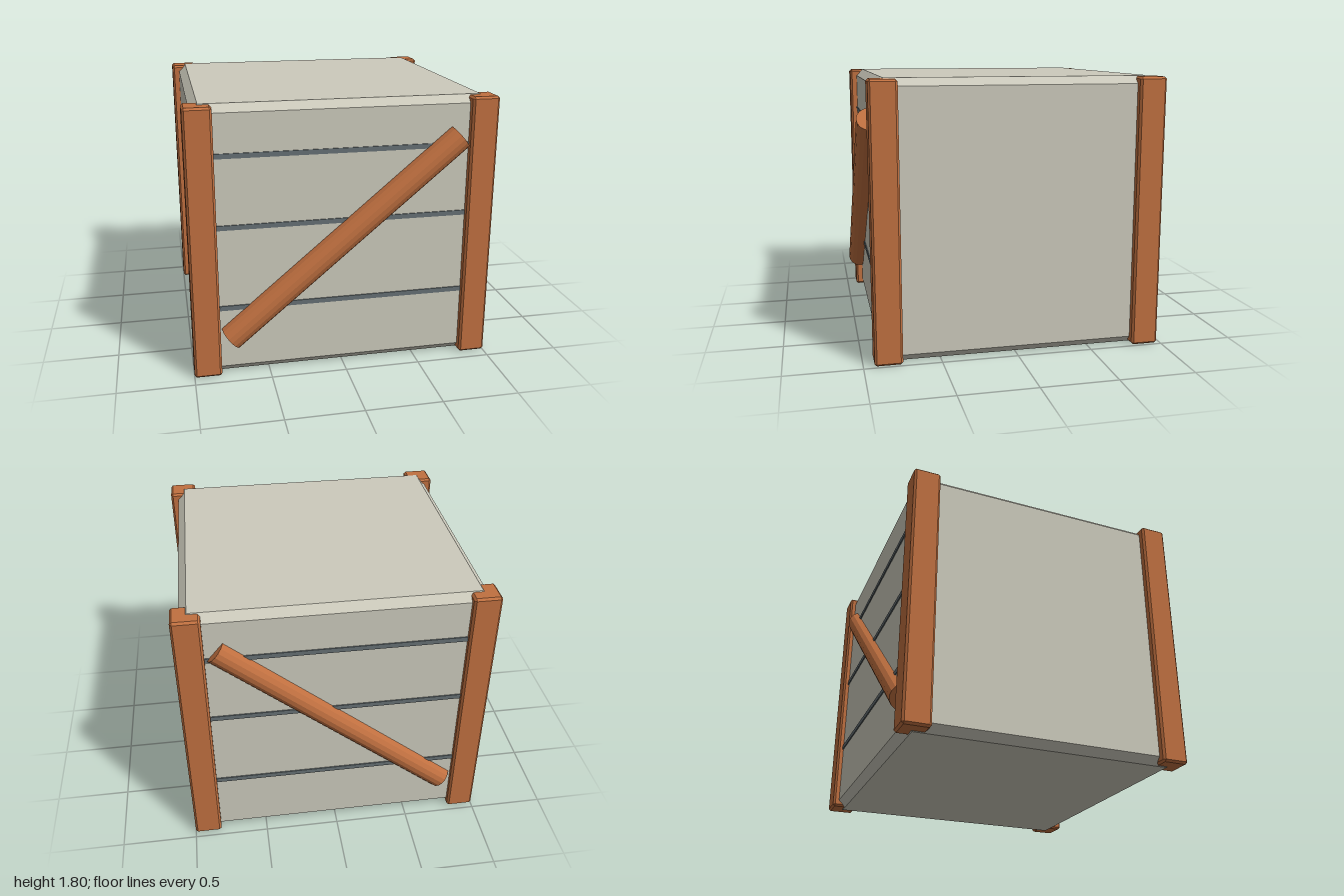
import * as THREE from 'three';
import { ConvexGeometry } from 'three/addons/geometries/ConvexGeometry.js';

const panelMat = new THREE.MeshStandardMaterial({ color: 0xcccabc, flatShading: true });
const woodMat = new THREE.MeshStandardMaterial({ color: 0xc07040, flatShading: true });
const gapMat = new THREE.MeshStandardMaterial({ color: 0x667074, flatShading: true });

// Box with every edge cut by a flat chamfer c
function chamferBox(w, h, d, c) {
  const points = [];
  for (const sx of [-1, 1]) for (const sy of [-1, 1]) for (const sz of [-1, 1]) {
    const x = w / 2, y = h / 2, z = d / 2;
    points.push(
      new THREE.Vector3(sx * x, sy * (y - c), sz * (z - c)),
      new THREE.Vector3(sx * (x - c), sy * y, sz * (z - c)),
      new THREE.Vector3(sx * (x - c), sy * (y - c), sz * z)
    );
  }
  return new ConvexGeometry(points);
}

export function createModel() {
  const model = new THREE.Group();
  model.name = 'crate';
  const add = (name, geometry, material, x, y, z) => {
    const mesh = new THREE.Mesh(geometry, material);
    mesh.name = name;
    mesh.position.set(x, y, z);
    model.add(mesh);
    return mesh;
  };
  const midZ = -0.025, halfDepth = 0.905;

  // Chamfered body
  add('body', chamferBox(1.9, 1.8, halfDepth * 2, 0.05), panelMat, 0, 0.9, midZ);

  // Corner posts, a hair shorter than the body
  const postGeo = chamferBox(0.18, 1.79, 0.18, 0.014);
  for (const sx of [-1, 1]) for (const sz of [-1, 1]) {
    const name = (sz > 0 ? 'front' : 'back') + (sx > 0 ? 'Left' : 'Right') + 'Post';
    add(name, postGeo, woodMat, sx * 0.91, 0.9, -0.02 + sz * 0.86);
  }

  // Dark plank seams and a diagonal brace on the front and back
  const seamGeo = new THREE.BoxGeometry(1.76, 0.032, 0.02);
  const braceGeo = new THREE.CylinderGeometry(0.085, 0.085, 1.976, 16);
  for (const sz of [-1, 1]) {
    const side = sz > 0 ? 'front' : 'back';
    [0.468, 1.018, 1.482].forEach((y, i) =>
      add(side + 'Seam' + (i + 1), seamGeo, gapMat, 0, y, midZ + sz * (halfDepth - 0.003)));
    const brace = add(side + 'Brace', braceGeo, woodMat, 0, 0.902, sz * 0.903);
    brace.rotation.z = -Math.atan2(1.51, 1.275);
  }
  return model;
}
